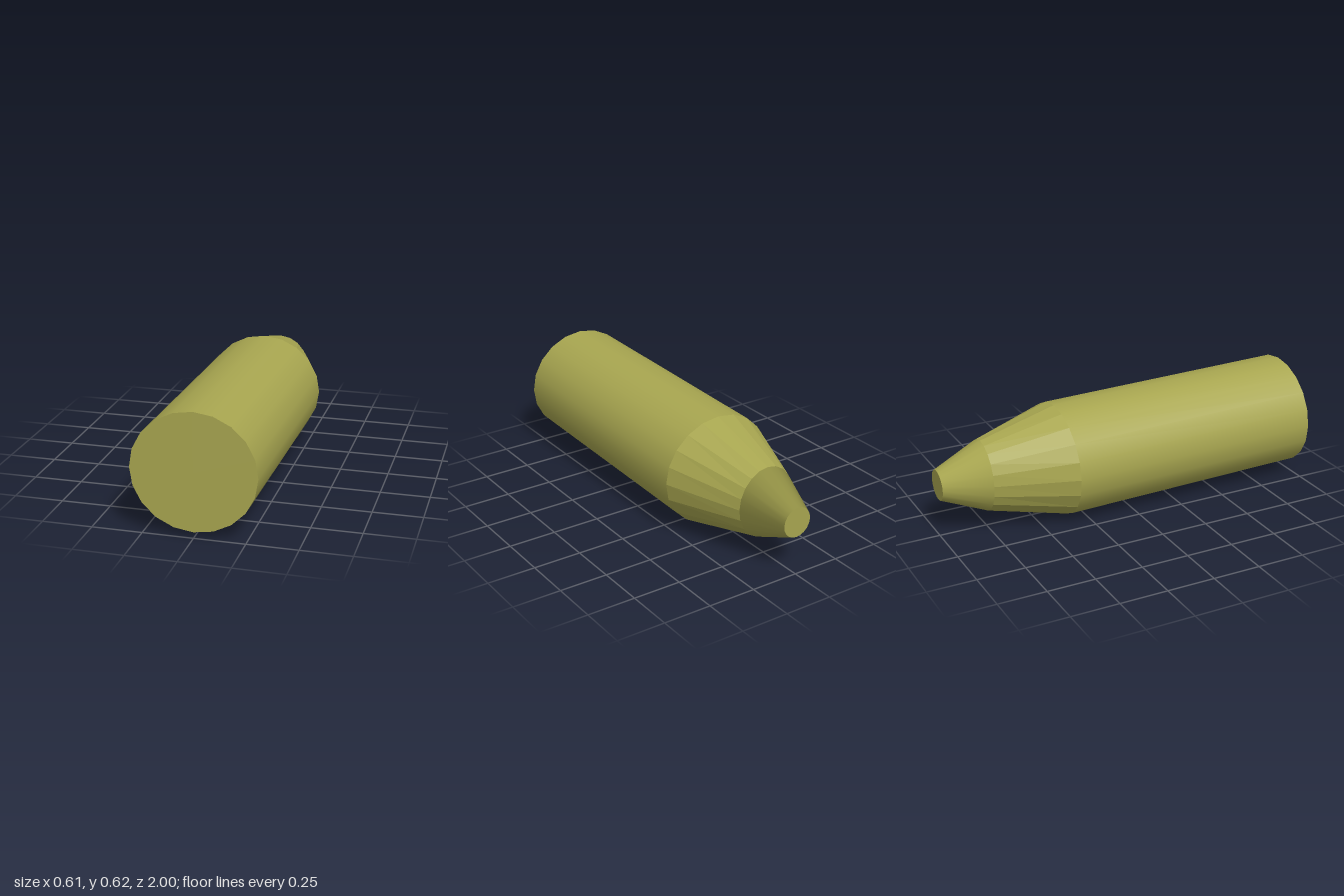
import * as THREE from 'three';

const SIDES = 20;

// Elliptical section lofted along z between two rings { z, rx, ry }
function section(name, front, back, { flat = false, capFront = false, capBack = false } = {}) {
  const group = new THREE.Group();
  group.name = name;
  const material = new THREE.MeshStandardMaterial({ color: 0xa8a650, flatShading: flat });

  const wall = new THREE.CylinderGeometry(1, 1, 1, SIDES, 1, true).rotateX(Math.PI / 2);
  const p = wall.attributes.position;
  const n = wall.attributes.normal;
  const length = front.z - back.z;
  const slope = (back.rx + back.ry - front.rx - front.ry) / 2 / length;
  for (let i = 0; i < p.count; i++) {
    const ring = p.getZ(i) > 0 ? front : back;
    const x = p.getX(i), y = p.getY(i);
    p.setXYZ(i, x * ring.rx, y * ring.ry, ring.z);
    const normal = new THREE.Vector3(x * ring.ry, y * ring.rx, -slope * (ring.rx + ring.ry) / 2).normalize();
    n.setXYZ(i, normal.x, normal.y, normal.z);
  }
  const wallMesh = new THREE.Mesh(wall, material);
  wallMesh.name = name + 'Wall';
  group.add(wallMesh);

  // Flat end caps
  const addCap = (ring, facing) => {
    const cap = new THREE.CircleGeometry(1, SIDES);
    cap.scale(ring.rx, ring.ry, 1);
    if (facing < 0) cap.rotateY(Math.PI);
    cap.translate(0, 0, ring.z);
    const mesh = new THREE.Mesh(cap, material);
    mesh.name = name + 'Cap';
    group.add(mesh);
  };
  if (capFront) addCap(front, 1);
  if (capBack) addCap(back, -1);
  return group;
}

export function createModel() {
  const model = new THREE.Group();
  model.name = 'taperedCylinder';

  const base = { z: 0.9935, rx: 0.307, ry: 0.293 };
  const shoulder = { z: -0.355, rx: 0.307, ry: 0.293 };
  const neck = { z: -0.76, rx: 0.16, ry: 0.188 };
  const tip = { z: -0.998, rx: 0.077, ry: 0.079 };

  // The whole body leans slightly, front end up
  const body = new THREE.Group();
  body.name = 'tiltedBody';
  body.add(section('barrel', base, shoulder, { capFront: true }));
  body.add(section('taper', shoulder, neck, { flat: true }));
  body.add(section('nose', neck, tip, { capBack: true }));
  body.rotation.x = -0.0225;
  body.position.y = 0.301;
  model.add(body);
  return model;
}
